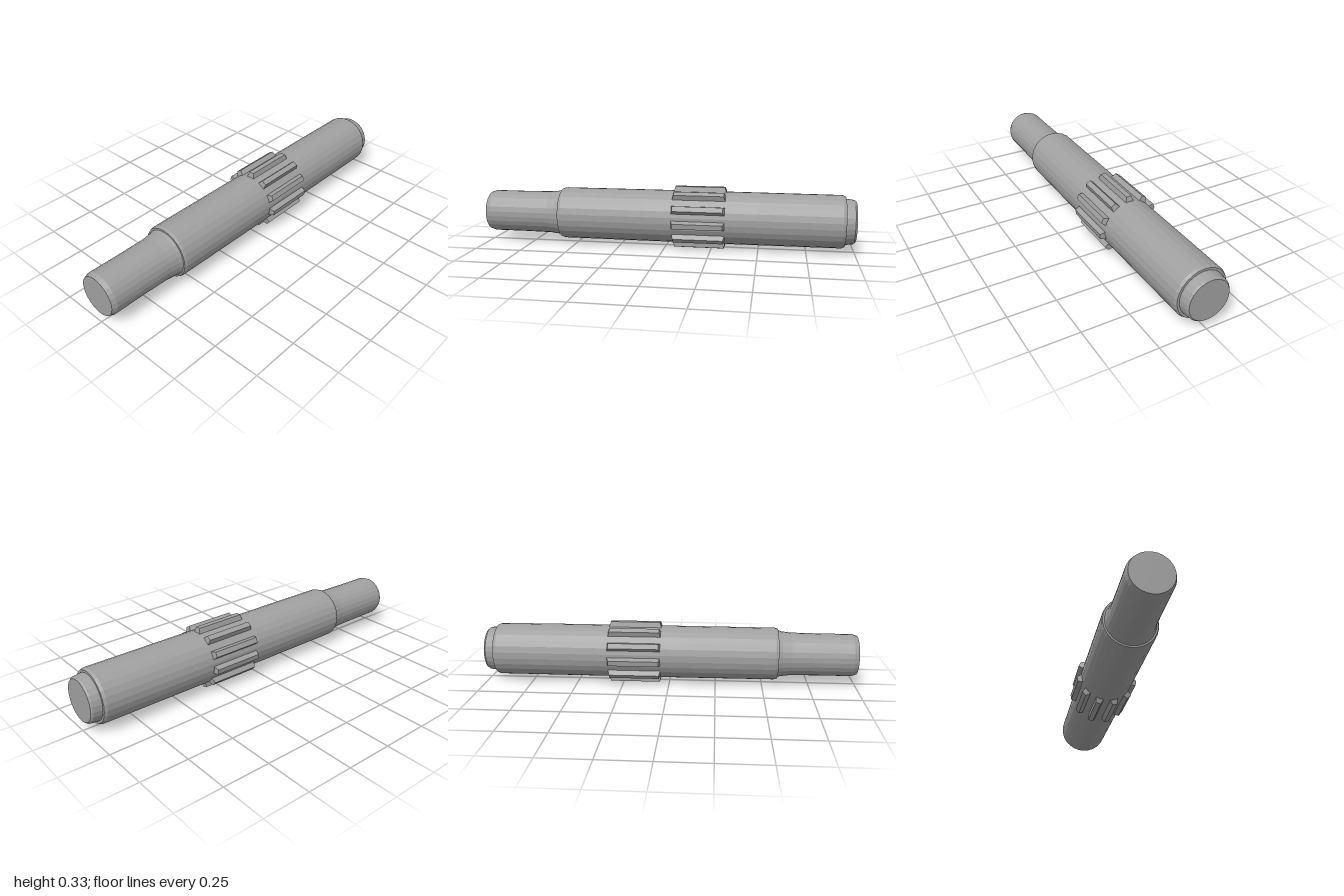
import * as THREE from 'three';

const AXIS_Y = 0.166;
const SIDES = 26;
const TEETH = 11;

const steel = new THREE.MeshStandardMaterial({ color: 0xa0a0a0, flatShading: true });
steel.name = 'grey steel';

// Turned part lying along z; profile is [radius, z] from back to front
function turned(name, profile) {
  const geometry = new THREE.LatheGeometry(profile.map(([r, z]) => new THREE.Vector2(r, z)), SIDES);
  geometry.rotateX(Math.PI / 2);
  const mesh = new THREE.Mesh(geometry, steel);
  mesh.name = name;
  return mesh;
}

// Spline tooth: a box narrowed towards its tip, with sloping ends
function toothGeometry() {
  const inner = 0.125, outer = 0.166, back = -0.33, front = -0.04;
  const geometry = new THREE.BoxGeometry(0.05, outer - inner, front - back, 1, 1, 1);
  const p = geometry.attributes.position;
  for (let i = 0; i < p.count; i++) {
    if (p.getY(i) > 0) {
      p.setX(i, Math.sign(p.getX(i)) * 0.014);
      p.setZ(i, p.getZ(i) - Math.sign(p.getZ(i)) * 0.012);
    }
  }
  geometry.translate(0, (inner + outer) / 2, (front + back) / 2);
  geometry.computeVertexNormals();
  return geometry;
}

export function createModel() {
  const group = new THREE.Group();
  group.name = 'splinedShaft';

  const shaft = new THREE.Group();
  shaft.name = 'shaft';
  shaft.position.y = AXIS_Y;
  group.add(shaft);

  // Thick body with its short stepped back end and narrow front journal
  shaft.add(turned('backEnd', [
    [0, -1], [0.108, -1], [0.116, -0.99], [0.121, -0.95], [0.121, -0.93],
  ]));
  shaft.add(turned('body', [
    [0.11, -0.945], [0.133, -0.945], [0.14, -0.93], [0.141, -0.5],
    [0.141, 0.1], [0.14, 0.565], [0.135, 0.58], [0.11, 0.582],
  ]));
  shaft.add(turned('frontJournal', [
    [0.128, 0.575], [0.121, 0.6], [0.115, 0.65], [0.113, 0.8],
    [0.113, 0.975], [0.104, 1], [0, 1],
  ]));

  // Ring of spline teeth, one pointing straight up
  const spline = new THREE.Group();
  spline.name = 'splineTeeth';
  const geometry = toothGeometry();
  for (let i = 0; i < TEETH; i++) {
    const tooth = new THREE.Mesh(geometry, steel);
    tooth.name = 'tooth' + (i + 1);
    tooth.rotation.z = (i / TEETH) * Math.PI * 2;
    spline.add(tooth);
  }
  shaft.add(spline);

  return group;
}
